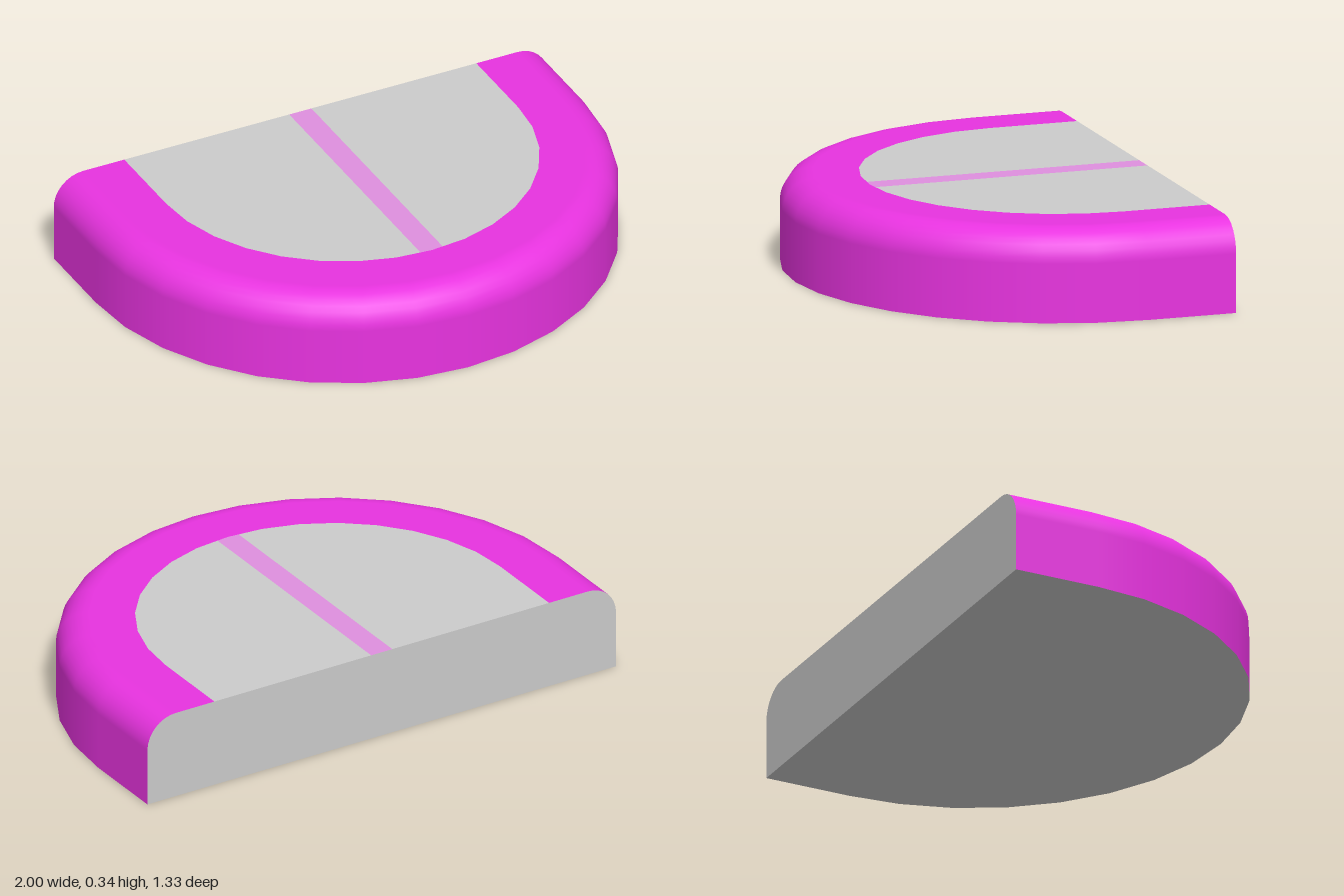
import * as THREE from 'three';

const BACK = -0.667, CENTRE = -0.333, HEIGHT = 0.34, BEVEL = 0.12;
const INNER = 0.714, STRIPE = 0.045, SEGMENTS = 16;

// D-shaped outline as [x, z], from the back left corner round the front
function outline(radius) {
  const points = [[radius, BACK]];
  for (let i = 0; i <= SEGMENTS; i++) {
    const a = (i / SEGMENTS) * Math.PI;
    points.push([radius * Math.cos(a), CENTRE + radius * Math.sin(a)]);
  }
  points.push([-radius, BACK]);
  return points;
}

// Cross-section of the rim: distance from the centre, height, normal out, normal up
function rimProfile() {
  const rows = [[1, 0, 1, 0]];
  for (let i = 0; i <= 8; i++) {
    const a = (i / 8) * Math.PI / 2, c = Math.cos(a), s = Math.sin(a);
    rows.push([1 - BEVEL + BEVEL * c, HEIGHT - BEVEL + BEVEL * s, c, s]);
  }
  rows.push([INNER, HEIGHT, 0, 1]);
  return rows;
}

// Sweep the cross-section along the outline
function rimGeometry() {
  const profile = rimProfile(), n = profile.length;
  const count = SEGMENTS + 3;
  const positions = [], normals = [], index = [];
  for (let i = 0; i < count; i++) {
    const a = THREE.MathUtils.clamp((i - 1) / SEGMENTS, 0, 1) * Math.PI;
    const c = Math.cos(a), s = Math.sin(a);
    const isEnd = i === 0 || i === count - 1;
    profile.forEach(([r, y, out, up], j) => {
      positions.push(r * c, y, isEnd ? BACK : CENTRE + r * s);
      normals.push(out * c, up, out * s);
      if (i < count - 1 && j < n - 1) {
        const k = i * n + j;
        index.push(k, k + 1, k + n, k + 1, k + n + 1, k + n);
      }
    });
  }
  const g = new THREE.BufferGeometry();
  g.setAttribute('position', new THREE.Float32BufferAttribute(positions, 3));
  g.setAttribute('normal', new THREE.Float32BufferAttribute(normals, 3));
  g.setIndex(index);
  return g;
}

function flat(points) {
  return new THREE.ShapeGeometry(new THREE.Shape(points.map(([x, y]) => new THREE.Vector2(x, y))));
}

// Horizontal faces from [x, z] points
const faceUp = (points) => flat(points.map(([x, z]) => [x, -z])).rotateX(-Math.PI / 2).translate(0, HEIGHT, 0);
const faceDown = (points) => flat(points).rotateX(Math.PI / 2);

export function createModel() {
  const group = new THREE.Group();
  const pink = new THREE.MeshStandardMaterial({ color: 0xe833e0 });
  const pale = new THREE.MeshStandardMaterial({ color: 0xdf90df });
  const grey = new THREE.MeshStandardMaterial({ color: 0xcccccc });
  const add = (name, geometry, material) => {
    const mesh = new THREE.Mesh(geometry, material);
    mesh.name = name;
    group.add(mesh);
  };

  // Rounded rim and side wall
  add('rim', rimGeometry(), pink);

  // Two top panels either side of the stripe
  const inner = outline(INNER);
  const [fx, fz] = inner[SEGMENTS / 2];
  const front = INNER + CENTRE;
  const stripeEnd = front + (fz - front) * STRIPE / fx;
  const half = [[STRIPE, BACK], ...inner.slice(0, SEGMENTS / 2 + 1), [STRIPE, stripeEnd]];
  add('leftTopPanel', faceUp(half), grey);
  add('rightTopPanel', faceUp(half.map(([x, z]) => [-x, z])), grey);

  // Centre stripe
  add('centreStripe', faceUp([[-STRIPE, BACK], [STRIPE, BACK], [STRIPE, stripeEnd], [0, front], [-STRIPE, stripeEnd]]), pale);

  // Flat back with rounded upper corners, and underside
  const edge = rimProfile().slice(0, -1).map(([x, y]) => [x, y]);
  const backFace = [...edge, ...edge.map(([x, y]) => [-x, y]).reverse()];
  add('backFace', flat(backFace).rotateY(Math.PI).translate(0, 0, BACK), grey);
  add('underside', faceDown(outline(1)), grey);

  return group;
}
